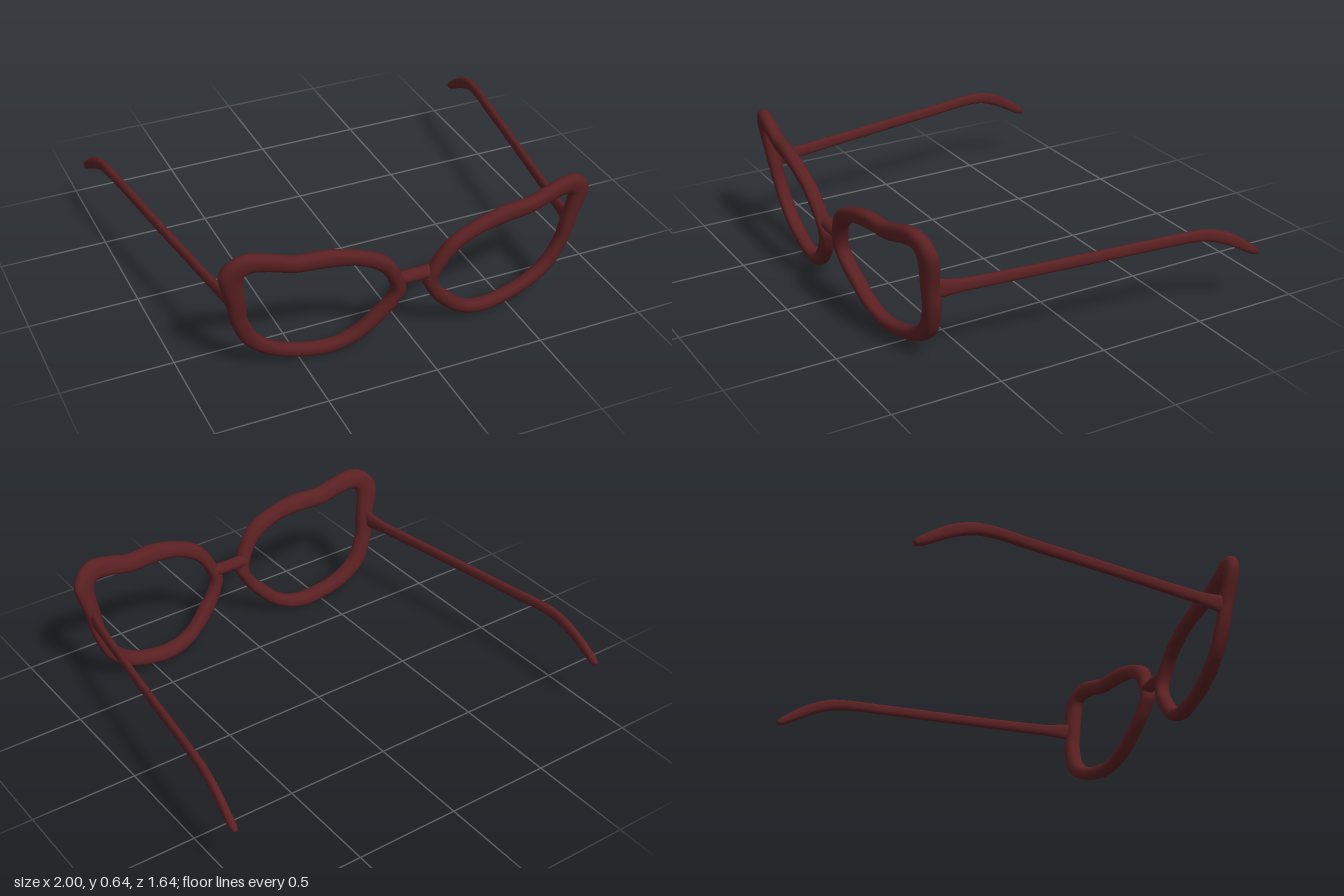
import * as THREE from 'three';

const frameRed = new THREE.MeshStandardMaterial({ color: 0x5a2022 });
frameRed.name = 'dark red acetate';

// Skin a list of equal-length rings; closed joins last to first, otherwise ends are capped
function skin(rings, closed) {
  const n = rings[0].length, m = rings.length, pts = rings.flat(), index = [];
  for (let i = 0; i < (closed ? m : m - 1); i++) {
    const p = i * n, q = ((i + 1) % m) * n;
    for (let j = 0; j < n; j++) {
      const k = (j + 1) % n;
      index.push(p + j, p + k, q + j, p + k, q + k, q + j);
    }
  }
  if (!closed) {
    const centre = (r) => r.reduce((s, v) => s.add(v), new THREE.Vector3()).divideScalar(n);
    const a = pts.push(centre(rings[0])) - 1, b = pts.push(centre(rings[m - 1])) - 1;
    const last = (m - 1) * n;
    for (let j = 0; j < n; j++) {
      const k = (j + 1) % n;
      index.push(a, k, j, b, last + j, last + k);
    }
  }
  const g = new THREE.BufferGeometry().setFromPoints(pts);
  g.setIndex(index);
  g.computeVertexNormals();
  return g;
}

// Mirror across x = 0, keeping faces outward
function mirrored(geometry) {
  const g = geometry.clone().scale(-1, 1, 1);
  g.setIndex(Array.from(g.index.array).reverse());
  g.computeVertexNormals();
  return g;
}

// Ring of a slightly squared ellipse spanned by two half-axes
function ring(centre, e1, e2, sides) {
  const soft = (v) => Math.sign(v) * Math.pow(Math.abs(v), 0.85);
  return Array.from({ length: sides }, (_, j) => {
    const a = (j / sides) * Math.PI * 2;
    return centre.clone().addScaledVector(e1, soft(Math.cos(a))).addScaledVector(e2, soft(Math.sin(a)));
  });
}

// Cat-eye rim: paired outer and inner outline points [outerX, outerY, innerX, innerY]
const outline = [
  [0.047, 0.32, 0.112, 0.32], [0.13, 0.48, 0.17, 0.42], [0.25, 0.55, 0.28, 0.487],
  [0.4, 0.591, 0.41, 0.508], [0.535, 0.593, 0.545, 0.513], [0.63, 0.62, 0.65, 0.54],
  [0.735, 0.644, 0.715, 0.551], [0.81, 0.62, 0.745, 0.545], [0.853, 0.56, 0.757, 0.525],
  [0.853, 0.5, 0.757, 0.48], [0.822, 0.39, 0.743, 0.37], [0.8, 0.27, 0.73, 0.283],
  [0.735, 0.134, 0.675, 0.176], [0.6, 0.045, 0.57, 0.103], [0.4, 0.002, 0.4, 0.068],
  [0.25, 0.043, 0.28, 0.096], [0.13, 0.144, 0.18, 0.187], [0.065, 0.24, 0.122, 0.252],
];

// The lens plane leans forward at the top and wraps back at the sides
const planeZ = (x, y) => 0.696 + 0.17 * (y - 0.04) - 0.1 * (x - 0.4) - 0.08 * (x - 0.4) ** 2;

function rimGeometry() {
  const loop = (o) => new THREE.CatmullRomCurve3(
    outline.map((p) => new THREE.Vector3(p[o], p[o + 1], planeZ(p[o], p[o + 1]))), true, 'catmullrom', 0.5);
  const outer = loop(0), inner = loop(2), steps = 108, rings = [];
  const depth = new THREE.Vector3(0, 0, 0.034);
  for (let i = 0; i < steps; i++) {
    const a = outer.getPoint(i / steps), b = inner.getPoint(i / steps);
    const centre = a.clone().add(b).multiplyScalar(0.5);
    rings.push(ring(centre, a.sub(centre), depth, 20));
  }
  return skin(rings, true);
}

// Temple arm stations: x, y, z, half height, half thickness
const stations = [
  [0.79, 0.376, 0.69, 0.045, 0.018], [0.797, 0.375, 0.64, 0.038, 0.018],
  [0.81, 0.374, 0.56, 0.029, 0.017], [0.848, 0.379, 0.3, 0.026, 0.016],
  [0.89, 0.386, 0, 0.026, 0.016], [0.93, 0.393, -0.3, 0.026, 0.016],
  [0.953, 0.397, -0.46, 0.026, 0.017], [0.963, 0.388, -0.55, 0.028, 0.017],
  [0.971, 0.359, -0.635, 0.028, 0.017], [0.978, 0.312, -0.72, 0.025, 0.017],
  [0.982, 0.27, -0.785, 0.02, 0.017], [0.983, 0.256, -0.81, 0.011, 0.01],
];

function templeGeometry() {
  const path = new THREE.CatmullRomCurve3(stations.map(([x, y, z]) => new THREE.Vector3(x, y, z)), false, 'centripetal');
  const spans = stations.length - 1, steps = spans * 4, side = new THREE.Vector3(1, 0, 0), rings = [];
  for (let i = 0; i <= steps; i++) {
    const t = i / steps, k = Math.min(Math.floor(t * spans), spans - 1), f = t * spans - k;
    const size = (c) => THREE.MathUtils.lerp(stations[k][c], stations[k + 1][c], f);
    const tangent = path.getTangent(t);
    const up = side.clone().cross(tangent).normalize();
    const across = tangent.clone().cross(up);
    rings.push(ring(path.getPoint(t), up.multiplyScalar(size(3)), across.multiplyScalar(size(4)), 16));
  }
  return skin(rings, false);
}

export function createModel() {
  const model = new THREE.Group();
  model.name = 'eyeglasses frame';
  const add = (geometry, name) => {
    const mesh = new THREE.Mesh(geometry, frameRed);
    mesh.name = name;
    model.add(mesh);
  };

  // Rims and temples, built for the left and mirrored to the right
  const rim = rimGeometry(), temple = templeGeometry();
  add(rim, 'leftRim');
  add(mirrored(rim), 'rightRim');
  add(temple, 'leftTemple');
  add(mirrored(temple), 'rightTemple');

  // Nose bridge, its ends buried in the rims
  const arch = new THREE.QuadraticBezierCurve3(
    new THREE.Vector3(-0.08, 0.342, 0.762), new THREE.Vector3(0, 0.342, 0.764), new THREE.Vector3(0.08, 0.342, 0.762));
  add(new THREE.TubeGeometry(arch, 12, 0.03, 16), 'bridge');

  return model;
}
